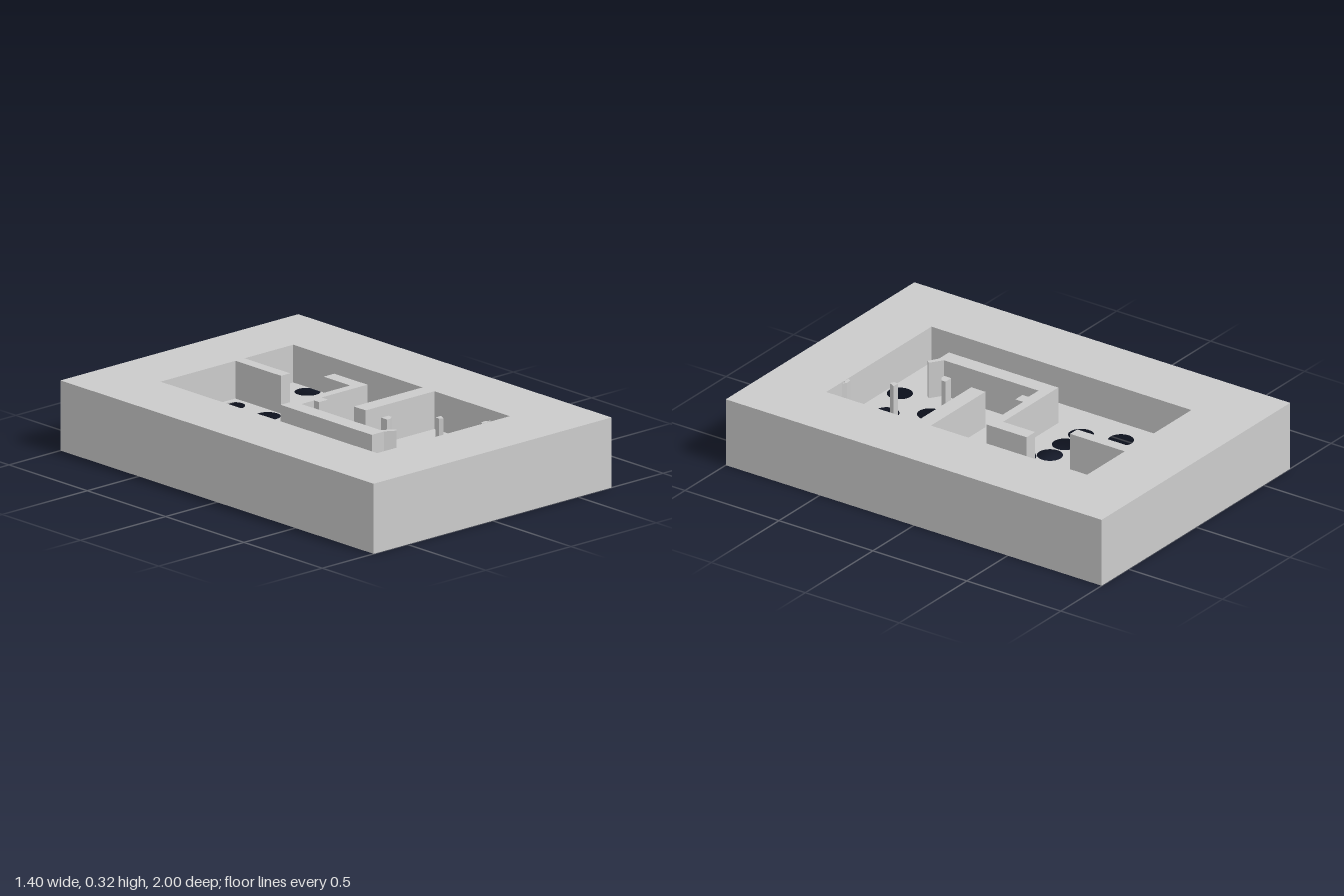
import * as THREE from 'three';

const TOP = 0.318, FLOOR = 0.147, R = 0.0565;
const L = -0.392, RT = 0.387, BK = -0.694, FR = 0.689;

const material = new THREE.MeshStandardMaterial({ color: 0xcccccc, side: THREE.DoubleSide, flatShading: true });

const toShape = (pts) => new THREE.Shape(pts.map(([x, z]) => new THREE.Vector2(x, z)));

// Flat sheet lying at height y
function sheet(shape, y) {
  return new THREE.ShapeGeometry(shape, 40).rotateX(Math.PI / 2).translate(0, y, 0);
}

// Upright ribbon following a closed outline
function ribbon(pts, y0, y1) {
  const pos = [];
  pts.forEach(([ax, az], i) => {
    const [bx, bz] = pts[(i + 1) % pts.length];
    pos.push(ax, y0, az, bx, y0, bz, bx, y1, bz, ax, y0, az, bx, y1, bz, ax, y1, az);
  });
  const g = new THREE.BufferGeometry();
  g.setAttribute('position', new THREE.Float32BufferAttribute(pos, 3));
  g.computeVertexNormals();
  return g;
}

// Solid block standing on the floor, level with the rim
function block(pts) {
  return new THREE.ExtrudeGeometry(toShape(pts), { depth: TOP - FLOOR, bevelEnabled: false })
    .rotateX(Math.PI / 2).translate(0, TOP, 0);
}

// Part circle bitten out of a side wall; dir is the direction of travel in z
function bite(cx, cz, wallX, dir) {
  const pts = [];
  const side = Math.sign(wallX);
  const a = Math.acos(Math.abs(wallX - cx) / R);
  for (let i = 0; i <= 32; i++) {
    const t = a + (i / 32) * 2 * (Math.PI - a);
    pts.push([cx + side * R * Math.cos(t), cz - dir * R * Math.sin(t)]);
  }
  return pts;
}

export function createModel() {
  const group = new THREE.Group();
  const add = (name, geometry) => {
    const mesh = new THREE.Mesh(geometry, material);
    mesh.name = name;
    group.add(mesh);
  };

  const outer = [[-0.698, -1], [0.698, -1], [0.698, 1], [-0.698, 1]];

  // Pit outline with two ribs reaching in from the frame; bites only cut the floor
  const pit = (bites) => [
    [L, BK], [0.048, BK], [0.048, -0.403], [0.101, -0.403], [0.101, BK], [RT, BK],
    ...(bites ? [...bite(0.342, -0.554, RT, 1), ...bite(0.347, 0.034, RT, 1)] : []),
    [RT, 0.132], [-0.016, 0.132], [-0.016, 0.207], [RT, 0.207], [RT, FR], [L, FR],
    ...(bites ? bite(-0.363, 0.445, L, -1) : []),
  ];

  // Frame: open underneath
  const rim = toShape(outer);
  rim.holes.push(toShape(pit(false)));
  add('rim', sheet(rim, TOP));
  add('outerWalls', ribbon(outer, 0, TOP));
  add('pitWalls', ribbon(pit(false), FLOOR, TOP));

  // Floor with round holes
  const floor = toShape(pit(true));
  const holes = [
    [-0.026, -0.625, 0.05], [-0.257, -0.416], [-0.138, -0.416], [-0.018, -0.416],
    [0.252, -0.421], [-0.199, -0.246], [-0.082, -0.244], [0.04, -0.252], [0.115, -0.164],
    [0.021, 0.4], [0.236, 0.403], [0.122, 0.559], [0.302, 0.559], [-0.066, 0.623],
  ];
  for (const [x, z, r = R] of holes) {
    floor.holes.push(new THREE.Path().absarc(x, z, r, 0, Math.PI * 2, true));
  }
  add('floor', sheet(floor, FLOOR));

  // Free-standing cranked wall
  add('mazeWall', block([
    [-0.233, -0.1], [0.175, -0.1], [0.175, -0.27], [0.238, -0.27], [0.238, -0.058],
    [-0.032, -0.058], [-0.032, -0.016], [-0.085, -0.016], [-0.085, -0.048], [-0.159, -0.048],
    [-0.159, 0.456], [-0.1, 0.495], [-0.114, 0.509], [-0.16, 0.482], [-0.233, 0.482],
  ]));

  // Small posts
  add('squarePost', block([[-0.037, 0.329], [0.005, 0.329], [0.005, 0.35], [-0.016, 0.366], [-0.037, 0.366]]));
  add('wedgePost', block([[0.138, 0.485], [0.172, 0.485], [0.156, 0.517], [0.138, 0.506]]));
  add('wallPost', block([[0.228, 0.685], [0.235, 0.67], [0.262, 0.668], [0.283, 0.68], [0.262, 0.68], [0.255, 0.688]]));

  return group;
}
